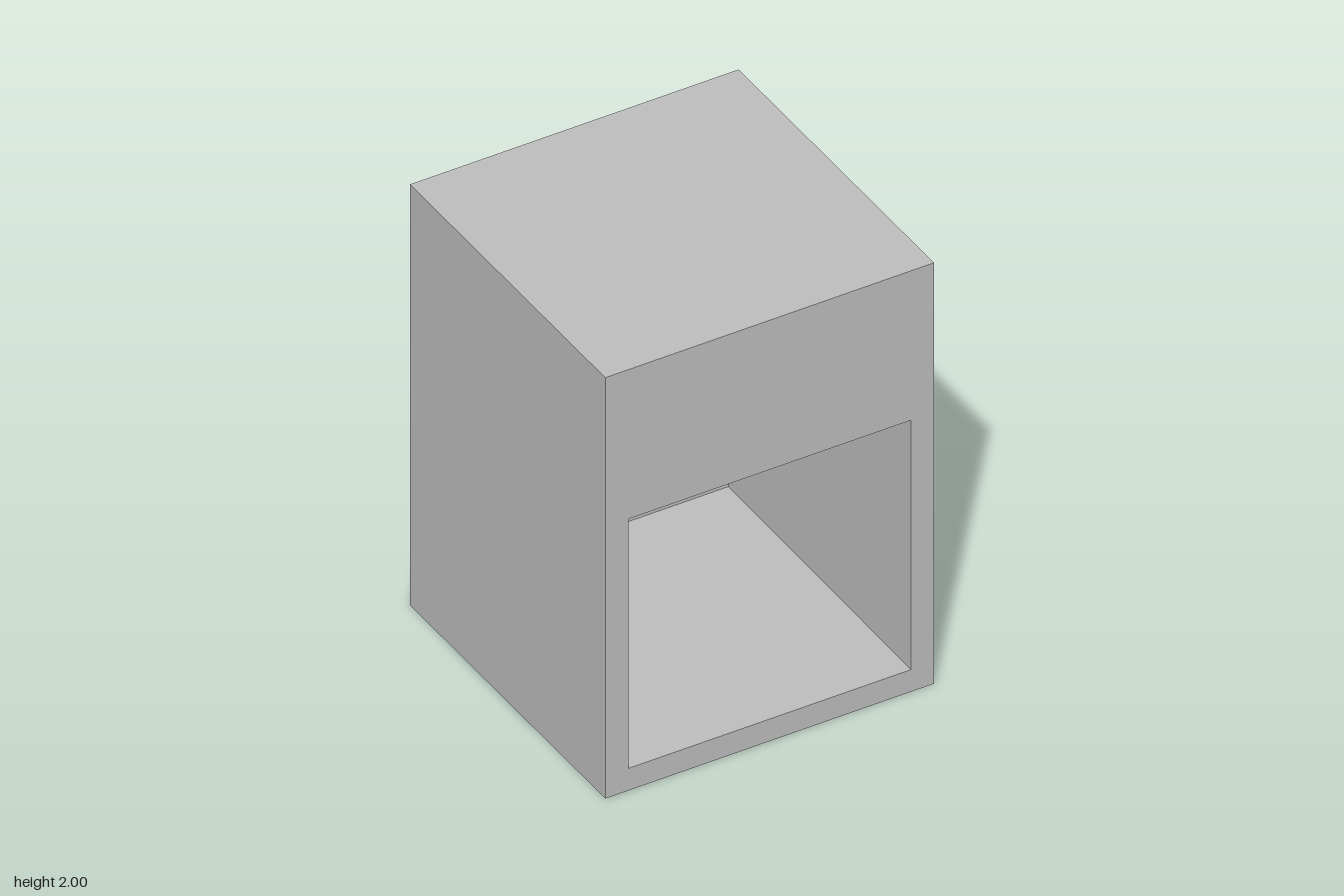
import * as THREE from 'three';

const W = 0.735;            // half width and half depth of the housing
const H = 2;                // housing height
const HX = 0.632;           // half width of the opening
const Y0 = 0.105, Y1 = 1.29; // opening bottom and top
const BACK = -0.64;         // rear of the inner compartment
const RISE = 0.01;          // compartment climbs slightly towards the rear

export function createModel() {
  const grey = new THREE.MeshStandardMaterial({ color: 0xbfbfbf, side: THREE.DoubleSide });
  grey.name = 'grey';
  const model = new THREE.Group();
  model.name = 'openCabinet';

  const add = (name, geometry, parent) => {
    const mesh = new THREE.Mesh(geometry, grey);
    mesh.name = name;
    parent.add(mesh);
  };

  // Single-sheet panel from four corners, counter-clockwise seen from outside
  const panel = (name, corners, parent) => {
    const g = new THREE.BufferGeometry();
    g.setAttribute('position', new THREE.Float32BufferAttribute(corners.flat(), 3));
    g.setIndex([0, 1, 2, 0, 2, 3]);
    g.computeVertexNormals();
    add(name, g, parent);
  };

  // Outer housing: front frame, sides and top; the back and underside are open
  const housing = new THREE.Group();
  housing.name = 'housing';
  model.add(housing);
  const rect = (x, y0, y1) =>
    [[-x, y0], [x, y0], [x, y1], [-x, y1]].map(([a, b]) => new THREE.Vector2(a, b));
  const frame = new THREE.Shape(rect(W, 0, H));
  frame.holes.push(new THREE.Path(rect(HX, Y0, Y1)));
  add('frontFrame', new THREE.ShapeGeometry(frame).translate(0, 0, W), housing);
  panel('leftSide', [[W, 0, W], [W, 0, -W], [W, H, -W], [W, H, W]], housing);
  panel('rightSide', [[-W, 0, -W], [-W, 0, W], [-W, H, W], [-W, H, -W]], housing);
  panel('top', [[-W, H, W], [W, H, W], [W, H, -W], [-W, H, -W]], housing);

  // Inner compartment running from the opening to its rear wall
  const compartment = new THREE.Group();
  compartment.name = 'compartment';
  model.add(compartment);
  const front = rect(HX, Y0, Y1).map((p) => [p.x, p.y, W]);
  const rear = rect(HX, Y0 + RISE, Y1 + RISE).map((p) => [p.x, p.y, BACK]);
  ['floor', 'leftWall', 'ceiling', 'rightWall'].forEach((name, i) => {
    const j = (i + 1) % 4;
    panel(name, [front[i], rear[i], rear[j], front[j]], compartment);
  });
  panel('rearWall', [...rear].reverse(), compartment);

  return model;
}
